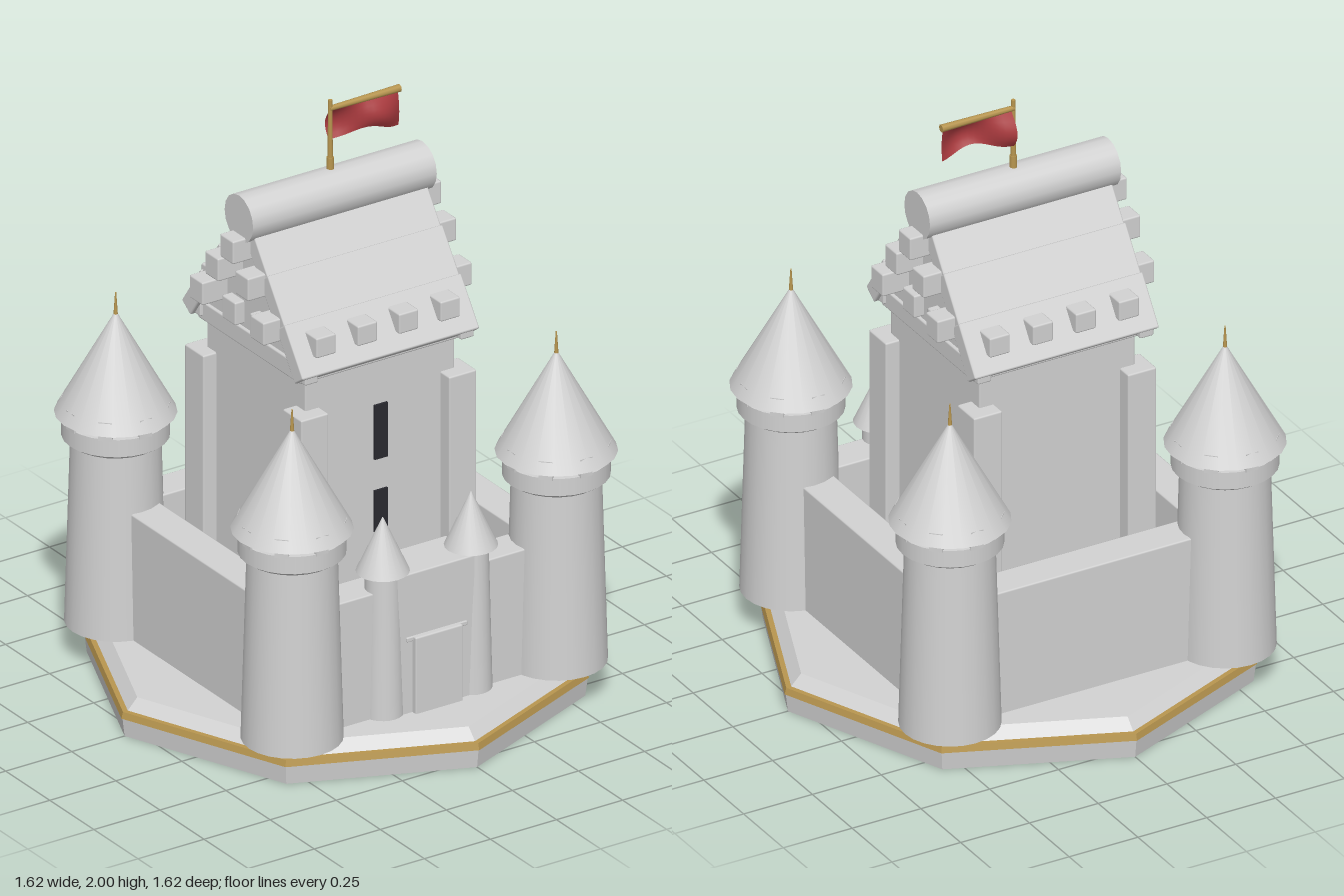
import * as THREE from 'three';
import { RoundedBoxGeometry } from 'three/addons/geometries/RoundedBoxGeometry.js';

const mat = (name, color, side = THREE.FrontSide) => {
  const m = new THREE.MeshStandardMaterial({ color, side });
  m.name = name;
  return m;
};

export function createModel() {
  const stone = mat('stone', 0xd2d2d2);
  const gold = mat('gold', 0xb8964f);
  const dark = mat('dark window', 0x2a2a30);
  const red = mat('red cloth', 0xa93a3e, THREE.DoubleSide);
  const model = new THREE.Group();
  model.name = 'castle';

  const add = (parent, name, geo, m, x = 0, y = 0, z = 0) => {
    const mesh = new THREE.Mesh(geo, m);
    mesh.name = name;
    mesh.position.set(x, y, z);
    parent.add(mesh);
    return mesh;
  };
  const group = (name, x = 0, y = 0, z = 0, parent = model) => {
    const g = new THREE.Group();
    g.name = name;
    g.position.set(x, y, z);
    parent.add(g);
    return g;
  };
  // Softly bevelled block given by its lower and upper limits
  const block = (parent, name, x0, x1, y0, y1, z0, z1, r = 0.006) =>
    add(parent, name, new RoundedBoxGeometry(x1 - x0, y1 - y0, z1 - z0, 1, r), stone,
      (x0 + x1) / 2, (y0 + y1) / 2, (z0 + z1) / 2);
  // Round drum between two heights
  const drum = (parent, name, rTop, rBottom, y0, y1, m = stone, n = 24) =>
    add(parent, name, new THREE.CylinderGeometry(rTop, rBottom, y1 - y0, n), m, 0, (y0 + y1) / 2, 0);
  // Flat-sided octagonal layer
  const octagon = (name, rTop, rBottom, y0, y1, m) => {
    const geo = new THREE.CylinderGeometry(rTop, rBottom, y1 - y0, 8).toNonIndexed();
    geo.computeVertexNormals();
    add(model, name, geo, m, 0, (y0 + y1) / 2, 0);
  };

  // Base
  octagon('baseFoot', 0.808, 0.8, 0, 0.064, stone);
  octagon('baseTrim', 0.806, 0.812, 0.064, 0.086, gold);
  octagon('baseStep', 0.752, 0.788, 0.086, 0.123, stone);

  // Corner towers
  for (const x of [-0.5, 0.5]) for (const z of [-0.5, 0.5]) {
    const tower = group('cornerTower', x, 0, z);
    drum(tower, 'towerShaft', 0.144, 0.163, 0.123, 0.775);
    drum(tower, 'collarFlare', 0.172, 0.15, 0.76, 0.775);
    drum(tower, 'collar', 0.172, 0.172, 0.775, 0.835);
    drum(tower, 'towerNeck', 0.145, 0.145, 0.83, 0.86);
    for (let i = 0; i < 8; i++) {
      const a = i * Math.PI / 4;
      const merlon = add(tower, 'merlon', new THREE.BoxGeometry(0.045, 0.065, 0.025), stone,
        0.16 * Math.sin(a), 0.862, 0.16 * Math.cos(a));
      merlon.rotation.y = a;
    }
    drum(tower, 'towerRoof', 0.004, 0.195, 0.855, 1.2, stone, 20);
    drum(tower, 'roofSpike', 0.002, 0.008, 1.18, 1.27, gold, 8);
  }

  // Curtain walls
  for (const s of [-1, 1]) {
    const inner = 0.415 * s, outer = 0.538 * s;
    const lo = Math.min(inner, outer), hi = Math.max(inner, outer);
    block(model, 'sideWall', lo, hi, 0.11, 0.56, -0.45, 0.45);
    block(model, s > 0 ? 'frontWall' : 'backWall', -0.45, 0.45, 0.11, 0.56, lo, hi);
  }

  // Gatehouse with twin turrets
  block(model, 'gatehouse', -0.15, 0.15, 0.11, 0.61, 0.4, 0.568);
  block(model, 'gateLintel', -0.115, 0.115, 0.375, 0.39, 0.55, 0.575, 0.003);
  block(model, 'gateDoor', -0.09, 0.09, 0.115, 0.39, 0.55, 0.588);
  for (const x of [-0.167, 0.167]) {
    const turret = group('gateTurret', x, 0, 0.515);
    drum(turret, 'turretShaft', 0.056, 0.068, 0.123, 0.625);
    drum(turret, 'turretRoof', 0.002, 0.086, 0.62, 0.805, stone, 20);
  }

  // Keep, centred slightly behind the middle
  const keep = group('keep', 0, 0, -0.03);
  block(keep, 'keepBody', -0.283, 0.283, 0.11, 1.23, -0.28, 0.28);
  for (const sx of [-1, 1]) for (const sz of [-1, 1])
    block(keep, 'buttress', sx * 0.28 - 0.052, sx * 0.28 + 0.052, 0.11, 1.1, sz * 0.278 - 0.054, sz * 0.278 + 0.054);
  block(keep, 'cornice', -0.31, 0.31, 1.205, 1.27, -0.292, 0.292);
  for (const y of [0.68, 0.957])
    add(keep, 'arrowSlit', new THREE.BoxGeometry(0.05, y < 0.8 ? 0.145 : 0.19, 0.009), dark, 0, y, 0.284);

  // Gable walls
  const tri = new THREE.Shape([[-0.3, 1.25], [0.3, 1.25], [0.02, 1.66], [-0.02, 1.66]]
    .map(([x, y]) => new THREE.Vector2(x, y)));
  const gableGeo = new THREE.ExtrudeGeometry(tri, { depth: 0.6, bevelEnabled: false });
  gableGeo.translate(0, 0, -0.3).rotateY(Math.PI / 2);
  add(keep, 'gable', gableGeo, stone);

  // Lapped roof planks, dormers and rafter ends on both slopes
  const tilt = Math.atan(0.7);
  for (const turn of [0, Math.PI]) {
    const slope = group('roofSlope', 0, 0, 0, keep);
    slope.rotation.y = turn;
    [[1.25, 1.4], [1.375, 1.535], [1.51, 1.66]].forEach(([y0, y1], i) => {
      const mid = (y0 + y1) / 2, sink = 0.03 + i * 0.007;
      const plank = add(slope, 'roofPlank',
        new RoundedBoxGeometry(0.67 - i * 0.006, (y1 - y0) / Math.cos(tilt), 0.06, 1, 0.006), stone,
        0, mid - sink * Math.sin(tilt), 0.345 - (mid - 1.25) * 0.7 - sink * Math.cos(tilt));
      plank.rotation.x = -tilt;
    });
    for (const x of [-0.235, -0.078, 0.078, 0.235])
      block(slope, 'dormer', x - 0.037, x + 0.037, 1.3, 1.37, 0.22, 0.328);
    for (const x of [-0.295, 0.295])
      block(slope, 'rafterEnd', x - 0.025, x + 0.025, 1.22, 1.265, 0.26, 0.335);
  }

  // Stepped stones on the gables
  for (const s of [-1, 1]) {
    const stones = [[0, 1.585, 0.395], [0.085, 1.49, 0.395], [0.173, 1.37, 0.395], [0.078, 1.322, 0.335]];
    for (const [z, y, reach] of stones) for (const sz of z ? [-1, 1] : [1])
      block(keep, 'gableStone', s * (0.28 + reach) / 2 - (reach - 0.28) / 2, s * (0.28 + reach) / 2 + (reach - 0.28) / 2,
        y - 0.04, y + 0.04, sz * z - 0.038, sz * z + 0.038);
  }

  // Ridge roll
  const ridge = add(keep, 'ridge', new THREE.CylinderGeometry(0.081, 0.081, 0.695, 16), stone, 0, 1.68, 0);
  ridge.rotation.z = Math.PI / 2;

  // Flagpole with crossbar
  const flag = group('flag', 0, 0, -0.033);
  drum(flag, 'poleSocket', 0.012, 0.013, 1.74, 1.8, gold, 10);
  drum(flag, 'flagPole', 0.007, 0.009, 1.8, 2, gold, 10);
  const bar = add(flag, 'crossbar', new THREE.CylinderGeometry(0.013, 0.009, 0.265, 8), gold, 0.13, 1.97, 0);
  bar.rotation.z = -Math.PI / 2;

  // Billowing cloth with a notched lower hem
  const cloth = new THREE.PlaneGeometry(1, 1, 14, 8);
  const p = cloth.attributes.position;
  for (let i = 0; i < p.count; i++) {
    const u = p.getX(i) + 0.5, v = 0.5 - p.getY(i);
    const drop = 0.122 - 0.02 * Math.sin(Math.PI * u) + 0.006 * Math.sin(u * 9);
    const wave = -0.045 * Math.cos(u * 4.4) * (1 - 0.3 * u);
    p.setXYZ(i, 0.01 + 0.245 * u, 1.97 - drop * v, wave * Math.sin(v * 2.6));
  }
  cloth.computeVertexNormals();
  add(flag, 'flagCloth', cloth, red);

  return model;
}
